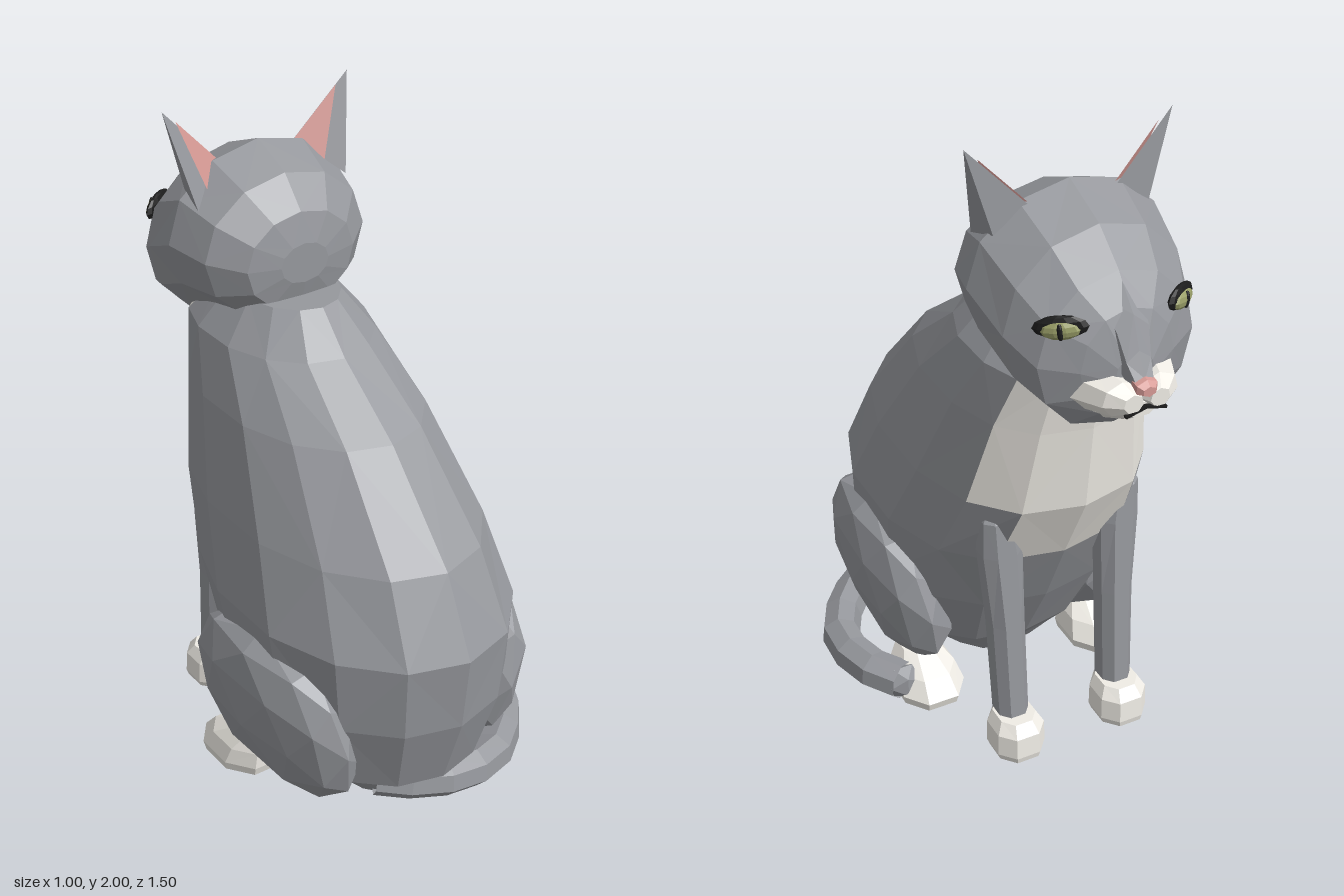
import * as THREE from 'three';

const paint = (color) => new THREE.MeshStandardMaterial({ color, flatShading: true, side: THREE.DoubleSide });
const FUR = paint(0x96989d), WHITE = paint(0xf0ede6), PINK = paint(0xd69a95);
const IRIS = paint(0x9a9f68), BLACK = paint(0x1c1c1c);

const V = (x, y, z) => new THREE.Vector3(x, y, z);
const bulge = (v, power) => Math.sign(v) * Math.abs(v) ** power;

function add(parent, name, geometry, material, pos = [0, 0, 0]) {
  const m = new THREE.Mesh(geometry, material);
  m.name = name;
  m.position.set(...pos);
  parent.add(m);
  return m;
}

function fromTriangles(points) {
  const g = new THREE.BufferGeometry().setFromPoints(points);
  g.computeVertexNormals();
  return g;
}

// Skin over closed rings of points; keep(ring, segment) selects the faces
function loft(rings, keep = () => true, caps = true) {
  const p = [], n = rings[0].length;
  for (let j = 0; j < rings.length - 1; j++) {
    for (let i = 0; i < n; i++) {
      if (!keep(j, i)) continue;
      const k = (i + 1) % n, [lo, hi] = [rings[j], rings[j + 1]];
      if ((i + j) % 2) p.push(lo[i], hi[i], lo[k], lo[k], hi[i], hi[k]);
      else p.push(lo[i], hi[k], lo[k], lo[i], hi[i], hi[k]);
    }
  }
  if (caps) {
    const first = rings[0], last = rings[rings.length - 1];
    for (let i = 1; i < n - 1; i++) {
      p.push(first[0], first[i], first[i + 1], last[0], last[i + 1], last[i]);
    }
  }
  return fromTriangles(p);
}

// Horizontal ring, squarer at the front: height, front z, back z, half width, centre x
function flatRing([y, front, back, hw, x = 0], n = 14, turn = 0) {
  const c = (front + back) / 2, r = (back - front) / 2;
  return Array.from({ length: n }, (_, i) => {
    const a = ((i + turn) / n) * Math.PI * 2;
    const power = Math.cos(a) > 0 ? 0.82 : 1;
    return V(x + bulge(Math.sin(a), power) * hw, y, c - bulge(Math.cos(a), power) * r);
  });
}

// Upright ring, fuller below: z, top y, bottom y, half width, centre x
function uprightRing([z, top, bottom, hw, x = 0], n = 12) {
  const c = (top + bottom) / 2, r = (top - bottom) / 2;
  return Array.from({ length: n }, (_, i) => {
    const a = (i / n) * Math.PI * 2;
    const power = Math.cos(a) < 0 ? 0.85 : 1;
    return V(x + bulge(Math.sin(a), power) * hw, c + Math.cos(a) * r, z);
  });
}

function buildBody(cat) {
  const rings = [
    [0.04, 0.02, 0.52, 0.17], [0.12, -0.04, 0.57, 0.25], [0.18, -0.09, 0.645, 0.32],
    [0.415, -0.22, 0.72, 0.385], [0.655, -0.33, 0.745, 0.405], [0.89, -0.445, 0.63, 0.36],
    [1.17, -0.475, 0.365, 0.295], [1.34, -0.5, 0.13, 0.243], [1.455, -0.4, 0.02, 0.15],
  ].map((r) => flatRing(r));
  // Pale bib, narrowing down between the front legs
  const bib = (j, i) => {
    const fromFront = Math.min(i, 13 - i);
    return j >= 4 && fromFront < (j >= 5 ? 2 : 1);
  };
  add(cat, 'body', loft(rings, (j, i) => !bib(j, i)), FUR);
  add(cat, 'chest', loft(rings, bib, false), WHITE);
}

function buildLegs(cat, s) {
  const side = s > 0 ? 'left' : 'right';
  // Straight front leg, pointed where it meets the shoulder
  const leg = [
    [0.1, -0.39, -0.27, 0.052, s * 0.18], [0.45, -0.365, -0.235, 0.056, s * 0.185],
    [0.7, -0.345, -0.22, 0.068, s * 0.195], [0.82, -0.335, -0.235, 0.055, s * 0.205],
    [0.87, -0.3, -0.25, 0.02, s * 0.21],
  ];
  add(cat, side + 'FrontLeg', loft(leg.map((r) => flatRing(r, 8, 0.5))), FUR);

  const x = s * 0.18;
  const frontPaw = [
    [0, -0.455, -0.275, 0.078, x], [0.02, -0.46, -0.265, 0.085, x],
    [0.09, -0.455, -0.265, 0.083, x], [0.125, -0.425, -0.275, 0.062, x],
  ];
  add(cat, side + 'FrontPaw', loft(frontPaw.map((r) => flatRing(r, 8, 0.5))), WHITE);

  const h = s * 0.305;
  const hindPaw = [
    [0, -0.12, 0.16, 0.105, h], [0.03, -0.13, 0.17, 0.112, h],
    [0.085, -0.08, 0.17, 0.095, h], [0.13, 0.01, 0.16, 0.06, h],
  ];
  add(cat, side + 'HindPaw', loft(hindPaw.map((r) => flatRing(r, 8, 0.5))), WHITE);

  // Folded haunch: a blunt, slightly boxy ball leaning out at the top
  const ball = new THREE.IcosahedronGeometry(1, 1);
  const p = ball.attributes.position;
  for (let i = 0; i < p.count; i++) {
    p.setXYZ(i, p.getX(i), bulge(p.getY(i), 0.88), bulge(p.getZ(i), 0.82));
  }
  const thigh = add(cat, side + 'Thigh', ball, FUR, [s * 0.315, 0.335, 0.24]);
  thigh.scale.set(0.137, 0.285, 0.345);
  thigh.rotation.set(0, -s * 0.05, -s * 0.2);
}

function buildTail(cat) {
  const path = new THREE.CatmullRomCurve3([
    V(-0.12, 0.12, 0.47), V(0, 0.1, 0.545), V(0.1, 0.09, 0.57), V(0.24, 0.075, 0.555), V(0.38, 0.068, 0.45),
    V(0.482, 0.068, 0.28), V(0.465, 0.068, 0.1), V(0.395, 0.065, -0.01),
  ]);
  add(cat, 'tail', new THREE.TubeGeometry(path, 10, 0.063, 7), FUR);
  const tip = add(cat, 'tailTip', new THREE.IcosahedronGeometry(0.062, 0), FUR, [0.395, 0.065, -0.01]);
  tip.scale.z = 0.8;
}

function buildEar(head, s) {
  const side = s > 0 ? 'left' : 'right';
  const tip = V(s * 0.308, 2, -0.31), back = V(s * 0.25, 1.72, -0.23);
  const front = V(s * 0.235, 1.75, -0.33), inner = V(s * 0.135, 1.82, -0.33);
  const faces = [[tip, back, front], [tip, inner, back], [tip, front, inner]];
  add(head, side + 'Ear', fromTriangles(faces.flat()), FUR);
  // Pink lining on the inward face, just above the surface
  const pink = [tip.clone().lerp(inner, 0.2), inner, inner.clone().lerp(back, 0.6)];
  add(head, side + 'EarLining', fromTriangles(pink.map((p) => p.clone().add(V(-s * 0.006, 0, 0.006)))), PINK);
}

function buildEye(head, s) {
  const eye = new THREE.Group();
  eye.name = (s > 0 ? 'left' : 'right') + 'Eye';
  eye.position.set(s * 0.178, 1.595, -0.594);
  eye.rotation.set(0, Math.PI - s * 0.6, s * 0.12);
  const ball = (name, mat, pos, scale) => {
    add(eye, name, new THREE.SphereGeometry(1, 10, 6), mat, pos).scale.set(...scale);
  };
  ball('eyeRim', BLACK, [0, 0.004, 0], [0.075, 0.034, 0.016]);
  ball('iris', IRIS, [0, -0.002, 0.007], [0.055, 0.027, 0.018]);
  ball('pupil', BLACK, [0, -0.002, 0.019], [0.009, 0.025, 0.009]);
  head.add(eye);
}

function buildHead(cat) {
  const head = new THREE.Group();
  head.name = 'head';
  cat.add(head);
  const skull = [
    [-0.675, 1.52, 1.37, 0.06], [-0.635, 1.63, 1.31, 0.14], [-0.575, 1.71, 1.25, 0.235],
    [-0.47, 1.795, 1.27, 0.28], [-0.31, 1.858, 1.345, 0.305], [-0.17, 1.8, 1.37, 0.27],
    [-0.09, 1.71, 1.42, 0.18], [-0.07, 1.62, 1.5, 0.08],
  ];
  add(head, 'skull', loft(skull.map((r) => uprightRing(r))), FUR);

  // Narrow bridge running down to the nose
  const bridge = [
    [-0.725, 1.465, 1.42, 0.03], [-0.69, 1.53, 1.42, 0.042],
    [-0.655, 1.62, 1.45, 0.055], [-0.58, 1.7, 1.5, 0.07],
  ];
  add(head, 'noseBridge', loft(bridge.map((r) => uprightRing(r, 6))), FUR);

  for (const s of [1, -1]) {
    buildEar(head, s);
    buildEye(head, s);
    const puff = [
      [-0.74, 1.435, 1.38, 0.03, s * 0.04], [-0.705, 1.46, 1.36, 0.06, s * 0.055],
      [-0.6, 1.47, 1.34, 0.08, s * 0.085],
    ];
    add(head, 'muzzle', loft(puff.map((r) => uprightRing(r, 7))), WHITE);
    const mouth = add(head, 'mouthLine', new THREE.BoxGeometry(0.065, 0.008, 0.012), BLACK, [s * 0.03, 1.38, -0.734]);
    mouth.rotation.z = s * -0.25;
  }
  const chin = [[-0.715, 1.39, 1.345, 0.045], [-0.68, 1.4, 1.325, 0.075], [-0.58, 1.4, 1.28, 0.12]];
  add(head, 'chin', loft(chin.map((r) => uprightRing(r, 7))), WHITE);

  const nose = [[-0.75, 1.455, 1.425, 0.02], [-0.735, 1.468, 1.42, 0.035], [-0.7, 1.475, 1.42, 0.036]];
  add(head, 'nose', loft(nose.map((r) => uprightRing(r, 6))), PINK);
}

export function createModel() {
  const cat = new THREE.Group();
  cat.name = 'sittingCat';
  buildBody(cat);
  for (const s of [1, -1]) buildLegs(cat, s);
  buildTail(cat);
  buildHead(cat);
  // The curled tail shifts the body off centre
  cat.position.x = -0.045;
  const model = new THREE.Group();
  model.add(cat);
  return model;
}
